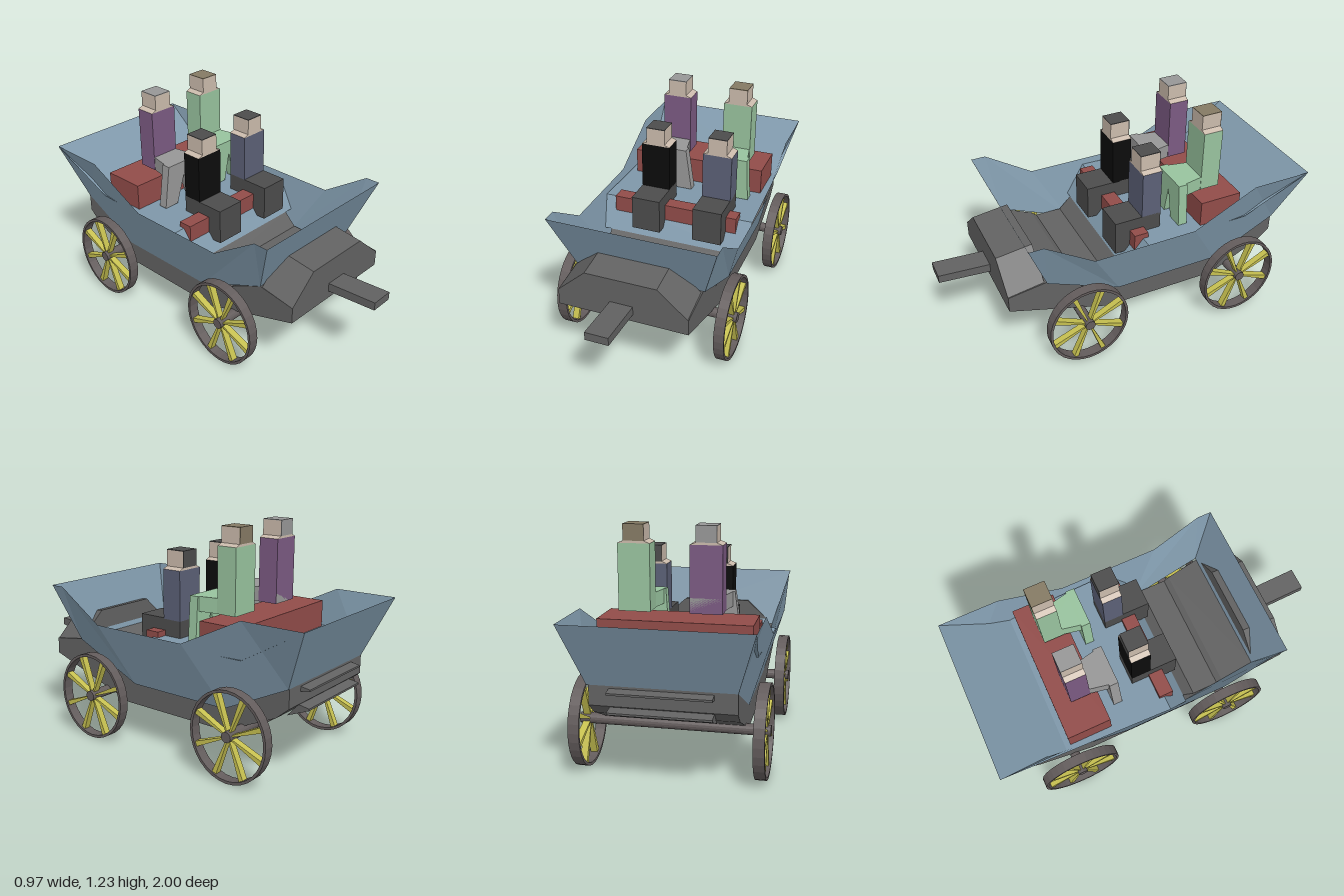
import * as THREE from 'three';

const mat = (color) => new THREE.MeshStandardMaterial({ color, flatShading: true, side: THREE.DoubleSide });
const M = {
  blue: mat(0x7e97a9), grey: mat(0x626262), red: mat(0x914c49), green: mat(0x98c39e),
  purple: mat(0x7b5a82), navy: mat(0x5b6076), black: mat(0x0c0c0c), skin: mat(0xcbbbac),
  legGrey: mat(0x979797), darkLeg: mat(0x4c4c4c), hair: mat(0x857a64), yellow: mat(0xc6c050), iron: mat(0x635c5c),
};

function add(parent, name, geometry, material) {
  const mesh = new THREE.Mesh(geometry, material);
  mesh.name = name;
  parent.add(mesh);
  return mesh;
}

// box given by its limits on each axis
function box(parent, name, [x0, x1], [y0, y1], [z0, z1], material) {
  const g = new THREE.BoxGeometry(x1 - x0, y1 - y0, z1 - z0);
  g.translate((x0 + x1) / 2, (y0 + y1) / 2, (z0 + z1) / 2);
  return add(parent, name, g, material);
}

// outline in the front plane, extruded from z0 to z1
function slab(points, z0, z1) {
  const shape = new THREE.Shape(points.map((p) => new THREE.Vector2(...p)));
  return new THREE.ExtrudeGeometry(shape, { depth: z1 - z0, bevelEnabled: false }).translate(0, 0, z0);
}

// side profile of (z, y) points, extruded across x
const acrossX = (points, width, cx = 0) => slab(points, -width / 2, width / 2).rotateY(-Math.PI / 2).translate(cx, 0, 0);

// panel strip between two rows of points
function panel(a, b) {
  const pos = [];
  for (let i = 0; i < a.length - 1; i++) {
    pos.push(...a[i], ...b[i], ...b[i + 1], ...a[i], ...b[i + 1], ...a[i + 1]);
  }
  const g = new THREE.BufferGeometry();
  g.setAttribute('position', new THREE.Float32BufferAttribute(pos, 3));
  g.computeVertexNormals();
  return g;
}

function buildBody(parent) {
  const body = new THREE.Group();
  body.name = 'body';
  parent.add(body);

  // flared side panels
  const rim = [[0.63, 0.825], [0.55, 0.825], [0.28, 0.65], [-0.3, 0.65], [-0.66, 0.825], [-1, 0.825]];
  const low = [[0.51, 0.51], [0.51, 0.51], [0.1, 0.33], [-0.5, 0.33], [-0.87, 0.51], [-0.87, 0.51]];
  const row = (pts, x) => pts.map(([z, y]) => [x, y, z]);
  for (const s of [1, -1]) add(body, 'sidePanel', panel(row(rim, s * 0.455), row(low, s * 0.36)), M.blue);

  // panels running across the body
  const cross = (name, [x0, y0, z0], [x1, y1, z1]) =>
    add(body, name, panel([[-x0, y0, z0], [x0, y0, z0]], [[-x1, y1, z1], [x1, y1, z1]]), M.blue);
  cross('frontPanel', [0.455, 0.825, 0.63], [0.36, 0.51, 0.51]);
  cross('backPanel', [0.455, 0.825, -1], [0.36, 0.51, -0.87]);
  cross('innerBackPanel', [0.455, 0.825, -1], [0.42, 0.62, -0.64]);
  cross('floor', [0.42, 0.62, -0.64], [0.44, 0.62, -0.04]);
  cross('footStep', [0.44, 0.62, -0.04], [0.4, 0.47, 0.08]);

  // lower hull with footwell
  add(body, 'hull', acrossX([
    [0.72, 0.39], [0.16, 0.21], [-0.5, 0.21], [-0.8, 0.35], [-0.87, 0.41], [-0.87, 0.51], [-0.5, 0.335],
    [-0.1, 0.335], [0.08, 0.47], [0.15, 0.4], [0.3, 0.4], [0.33, 0.425], [0.51, 0.51], [0.72, 0.48],
  ], 0.71, -0.005), M.grey);

  // rear ledges
  for (const [y, drop] of [[0.5, 0.04], [0.405, 0.07]]) {
    add(body, 'rearLedge', acrossX([[-0.8, y - drop], [-0.92, y - 0.02], [-0.92, y - 0.01], [-0.86, y]], 0.5), M.grey);
  }

  // chamfered nose, its top rising toward the body
  const nose = slab([[-0.36, 0.41], [0.345, 0.41], [0.345, 0.48], [0.185, 0.62], [-0.205, 0.62], [-0.36, 0.48]], 0.52, 0.72);
  const p = nose.attributes.position;
  for (let i = 0; i < p.count; i++) p.setY(i, p.getY(i) + (0.72 - p.getZ(i)) * 0.13);
  nose.computeVertexNormals();
  add(body, 'nose', nose, M.grey);

  // draw pole
  add(body, 'drawPole', acrossX([[0.5, 0.465], [0.5, 0.415], [1, 0.455], [1, 0.5]], 0.125, -0.008), M.grey);

  // benches
  box(body, 'rearBench', [-0.39, 0.39], [0.62, 0.765], [-0.61, -0.37], M.red);
  box(body, 'frontBench', [-0.36, 0.36], [0.47, 0.65], [-0.07, 0.01], M.red);
}

// torso, sloping shoulders, head and hair; front of the torso at local z = 0
function buildUpper(person, y0, y1, top, coat, hair) {
  box(person, 'torso', [-0.082, 0.082], [y0, y1], [-0.11, 0], coat);
  add(person, 'shoulders', slab([[-0.082, y1], [0.082, y1], [0.053, y1 + 0.012], [-0.053, y1 + 0.012]], -0.11, 0), M.skin);
  box(person, 'head', [-0.053, 0.053], [y1 + 0.01, top - 0.004], [-0.108, 0], M.skin);
  box(person, 'hairTop', [-0.053, 0.053], [top - 0.004, top], [-0.11, 0], hair);
  box(person, 'hairBack', [-0.053, 0.053], [y1 + 0.012, top], [-0.112, -0.108], hair);
}

function buildPerson(parent, name, x, z) {
  const person = new THREE.Group();
  person.name = name;
  person.position.set(x, 0, z);
  parent.add(person);
  return person;
}

function buildDriver(parent, x, coat) {
  const person = buildPerson(parent, 'driver', x, -0.06);
  buildUpper(person, 0.71, 0.975, 1.075, coat, M.darkLeg);
  box(person, 'legs', [-0.082, 0.082], [0.52, 0.715], [-0.11, 0.155], M.darkLeg);
}

function buildPassenger(parent, x, coat, legs, hair, spread) {
  const person = buildPerson(parent, 'passenger', x, -0.41);
  buildUpper(person, 0.79, 1.13, 1.225, coat, hair);
  // lap widening toward the knees
  const lap = slab([[-0.08, 0.11], [-0.08, 0], [-0.11, -0.15], [0.11, -0.15], [0.08, 0], [0.08, 0.11]], 0.79, 0.868);
  add(person, 'lap', lap.rotateX(Math.PI / 2).translate(0, 1.658, 0).scale(1, 1, 1), legs).scale.z = -1;
  person.children.at(-1).geometry.scale(1, 1, -1);
  // splayed shins
  add(person, 'shins', slab([
    [-0.11, 0.868], [-spread, 0.625], [-spread + 0.09, 0.625], [0, 0.79], [spread - 0.09, 0.625], [spread, 0.625], [0.11, 0.868],
  ], 0.1, 0.15), legs);
  // the lap outline runs forward along +z
  const lapMesh = person.getObjectByName('lap');
  lapMesh.scale.z = 1;
  lapMesh.geometry.computeBoundingBox();
  if (lapMesh.geometry.boundingBox.max.z < 0.14) lapMesh.geometry.rotateY(Math.PI);
}

function buildWheel(parent, x, z) {
  const wheel = new THREE.Group();
  wheel.name = 'wheel';
  wheel.position.set(x, 0.24, z);
  wheel.scale.z = 0.94;
  parent.add(wheel);
  // rim
  const ring = [[0.225, -0.028], [0.24, -0.028], [0.24, 0.028], [0.225, 0.028], [0.225, -0.028]];
  const rim = new THREE.LatheGeometry(ring.map((q) => new THREE.Vector2(...q)), 32).rotateZ(Math.PI / 2);
  add(wheel, 'rim', rim, M.iron);
  // spokes widening toward the rim
  for (let i = 0; i < 8; i++) {
    const spoke = acrossX([[-0.004, 0.015], [0.004, 0.015], [0.014, 0.226], [-0.014, 0.226]], 0.036);
    add(wheel, 'spoke', spoke.rotateX(Math.PI * (i / 4 + 1 / 8)), M.yellow);
  }
}

export function createModel() {
  const model = new THREE.Group();
  model.name = 'openCarriage';
  buildBody(model);

  for (const z of [0.325, -0.605]) {
    const axle = new THREE.CylinderGeometry(0.028, 0.028, 0.97, 16).rotateZ(Math.PI / 2).translate(0, 0.244, z);
    add(model, 'axle', axle, M.iron);
    for (const s of [1, -1]) buildWheel(model, s * 0.45, z);
  }

  buildDriver(model, -0.138, M.black);
  buildDriver(model, 0.22, M.navy);
  buildPassenger(model, -0.143, M.purple, M.legGrey, M.legGrey, 0.145);
  buildPassenger(model, 0.22, M.green, M.green, M.hair, 0.125);
  return model;
}
